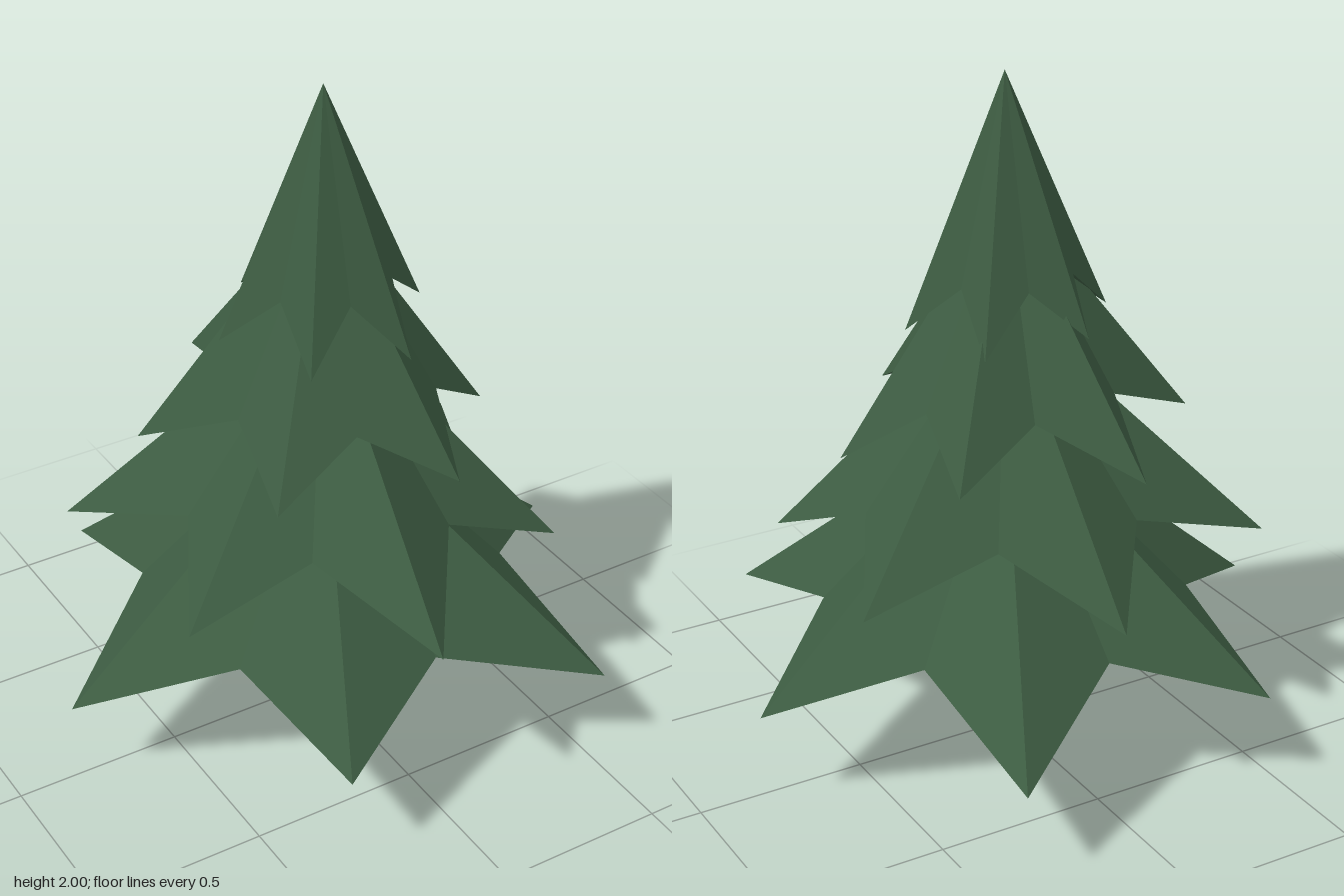
import * as THREE from 'three';

const needles = new THREE.MeshStandardMaterial({ color: 0x3d5c42, flatShading: true });
needles.name = 'pine green';
const bark = new THREE.MeshStandardMaterial({ color: 0x7a6148, flatShading: true });
bark.name = 'bark brown';

// shared axis of trunk and tiers
const AXIS_X = 0.003, AXIS_Z = 0.017;

// Each tier: valley height and radius, then six branch tips [x, y, z] in turning order
const tiers = [
  { y: 0.44, r: 0.53, tips: [[0.84, 0.30, -0.08], [0.39, 0.28, -0.77], [-0.44, 0.30, -0.70], [-0.84, 0.28, 0.04], [-0.35, 0.31, 0.75], [0.52, 0.30, 0.72]] },
  { y: 0.77, r: 0.43, tips: [[0.62, 0.64, -0.29], [0.02, 0.61, -0.66], [-0.63, 0.64, -0.37], [-0.60, 0.62, 0.31], [-0.08, 0.64, 0.77], [0.54, 0.61, 0.42]] },
  { y: 1.10, r: 0.32, tips: [[0.48, 0.93, 0.11], [0.36, 0.97, -0.36], [-0.12, 0.97, -0.53], [-0.50, 0.98, -0.15], [-0.33, 0.93, 0.33], [0.15, 0.97, 0.49]] },
  { y: 1.43, r: 0.19, tips: [[0.30, 1.30, 0.05], [0.19, 1.27, -0.20], [-0.10, 1.30, -0.26], [-0.30, 1.29, -0.03], [-0.17, 1.26, 0.24], [0.11, 1.27, 0.30]] },
];

// Star-shaped cone: pointed top, zigzag rim, hollowed underside
function tierGeometry({ y, r, tips }) {
  const apex = [AXIS_X, y + 0.57, AXIS_Z];
  const hollow = [AXIS_X, y + 0.10, AXIS_Z];
  const angle = (p) => Math.atan2(AXIS_Z - p[2], p[0] - AXIS_X);
  const rim = [];
  tips.forEach((tip, i) => {
    const a = angle(tip);
    let b = angle(tips[(i + 1) % tips.length]);
    if (b < a) b += Math.PI * 2;
    const m = (a + b) / 2;
    rim.push(tip, [AXIS_X + r * Math.cos(m), y, AXIS_Z - r * Math.sin(m)]);
  });
  const pos = [];
  rim.forEach((p, i) => {
    const q = rim[(i + 1) % rim.length];
    pos.push(...apex, ...p, ...q, ...hollow, ...q, ...p);
  });
  const g = new THREE.BufferGeometry();
  g.setAttribute('position', new THREE.Float32BufferAttribute(pos, 3));
  g.computeVertexNormals();
  return g;
}

export function createModel() {
  const tree = new THREE.Group();
  tree.name = 'pineTree';

  // tapered seven-sided trunk
  const trunkGeo = new THREE.CylinderGeometry(0.052, 0.076, 0.6, 7);
  trunkGeo.rotateY(-Math.PI / 2);
  const trunk = new THREE.Mesh(trunkGeo, bark);
  trunk.name = 'trunk';
  trunk.position.set(-0.003, 0.3, 0.014);
  tree.add(trunk);

  // stacked branch tiers
  tiers.forEach((t, i) => {
    const mesh = new THREE.Mesh(tierGeometry(t), needles);
    mesh.name = `branchTier${i + 1}`;
    tree.add(mesh);
  });
  return tree;
}
